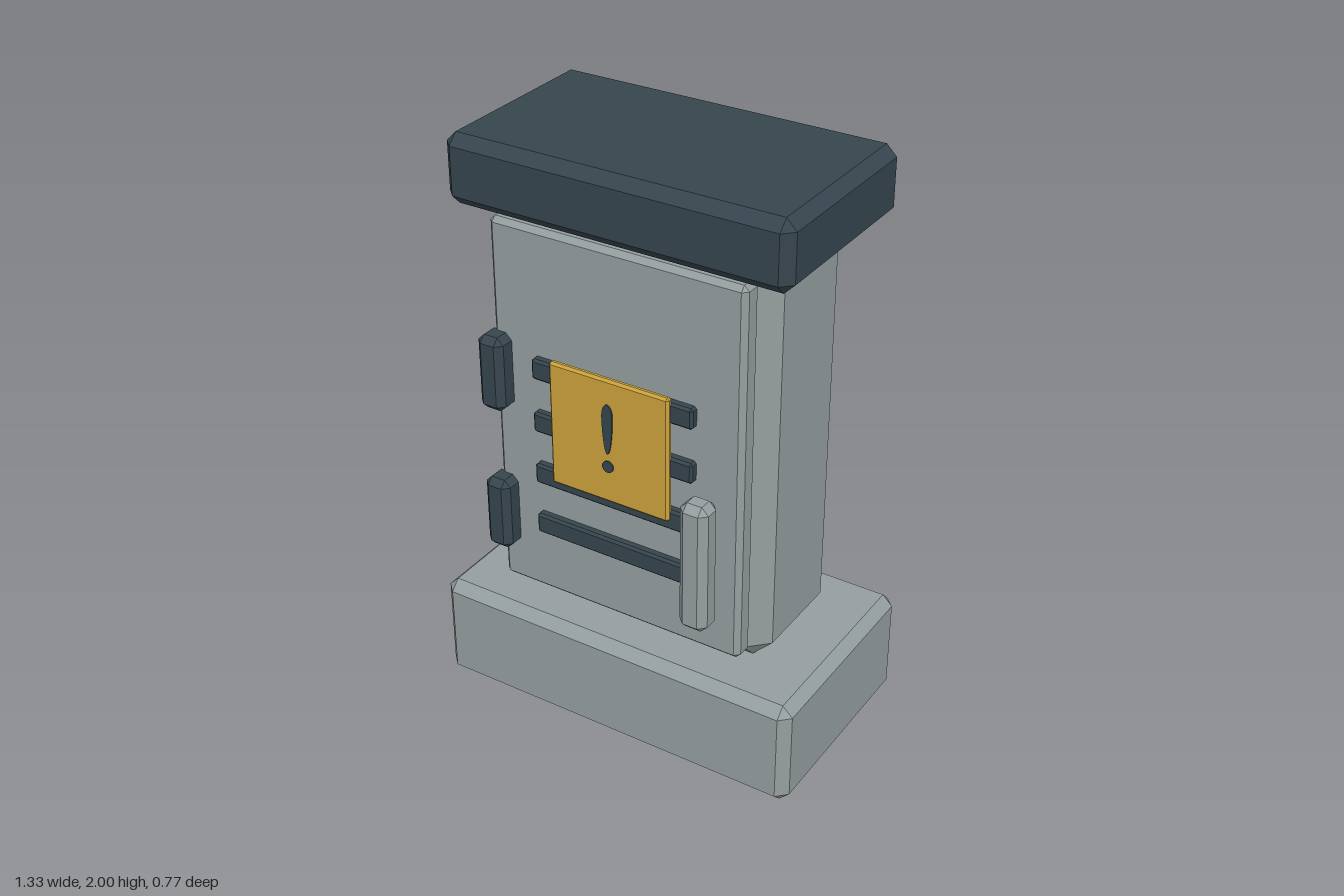
import * as THREE from 'three';
import { ConvexGeometry } from 'three/addons/geometries/ConvexGeometry.js';

const material = (name, color) => Object.assign(new THREE.MeshStandardMaterial({ color }), { name });

// Box given by its extents, with every edge and corner cut by c
function chamferBox([x0, x1], [y0, y1], [z0, z1], c) {
  const half = [(x1 - x0) / 2, (y1 - y0) / 2, (z1 - z0) / 2];
  const points = [];
  for (const sx of [-1, 1]) for (const sy of [-1, 1]) for (const sz of [-1, 1]) {
    for (let axis = 0; axis < 3; axis++) {
      const p = half.map((h, i) => (i === axis ? h : h - c));
      points.push(new THREE.Vector3(p[0] * sx, p[1] * sy, p[2] * sz));
    }
  }
  return new ConvexGeometry(points).translate((x0 + x1) / 2, (y0 + y1) / 2, (z0 + z1) / 2);
}

export function createModel() {
  const model = new THREE.Group();
  model.name = 'electricalCabinet';
  const grey = material('cabinet grey', 0x959e9f);
  const dark = material('dark slate', 0x36454e);
  const yellow = material('warning yellow', 0xcba23c);

  const add = (name, geometry, mat) => {
    const mesh = new THREE.Mesh(geometry, mat);
    mesh.name = name;
    model.add(mesh);
  };
  const block = (name, mat, x, y, z, c) => add(name, chamferBox(x, y, z, c), mat);

  // Plinth, cabinet and overhanging roof
  block('base', grey, [-0.665, 0.665], [0, 0.38], [-0.387, 0.367], 0.035);
  block('cabinetBody', grey, [-0.49, 0.49], [0.38, 1.83], [-0.235, 0.225], 0.07);
  block('roof', dark, [-0.593, 0.593], [1.77, 2], [-0.345, 0.322], 0.035);

  // Door with two hinges and an upright handle
  block('door', grey, [-0.448, 0.448], [0.455, 1.76], [0.222, 0.3], 0.017);
  for (const y of [0.73, 1.248]) {
    block('hinge', dark, [-0.472, -0.378], [y - 0.13, y + 0.13], [0.27, 0.366], 0.022);
  }
  block('handle', grey, [0.272, 0.372], [0.572, 1.032], [0.295, 0.386], 0.024);

  // Vent slats
  for (const y of [0.728, 0.917, 1.106, 1.295]) {
    block('ventSlat', dark, [-0.29, 0.29], [y - 0.036, y + 0.036], [0.28, 0.327], 0.008);
  }

  // Warning plate
  block('warningPlate', yellow, [-0.215, 0.215], [0.915, 1.35], [0.315, 0.34], 0.008);

  // Exclamation mark: tapered stroke and dot
  const stroke = new THREE.Shape();
  stroke.moveTo(0, 1.092);
  stroke.bezierCurveTo(0.012, 1.092, 0.019, 1.18, 0.019, 1.225);
  stroke.bezierCurveTo(0.019, 1.28, -0.019, 1.28, -0.019, 1.225);
  stroke.bezierCurveTo(-0.019, 1.18, -0.012, 1.092, 0, 1.092);
  const dot = new THREE.Shape().absarc(0, 1.047, 0.02, 0, Math.PI * 2);
  const mark = new THREE.ExtrudeGeometry([stroke, dot], { depth: 0.006, bevelEnabled: false, curveSegments: 10 });
  add('warningMark', mark.translate(0, 0, 0.339), dark);

  return model;
}
